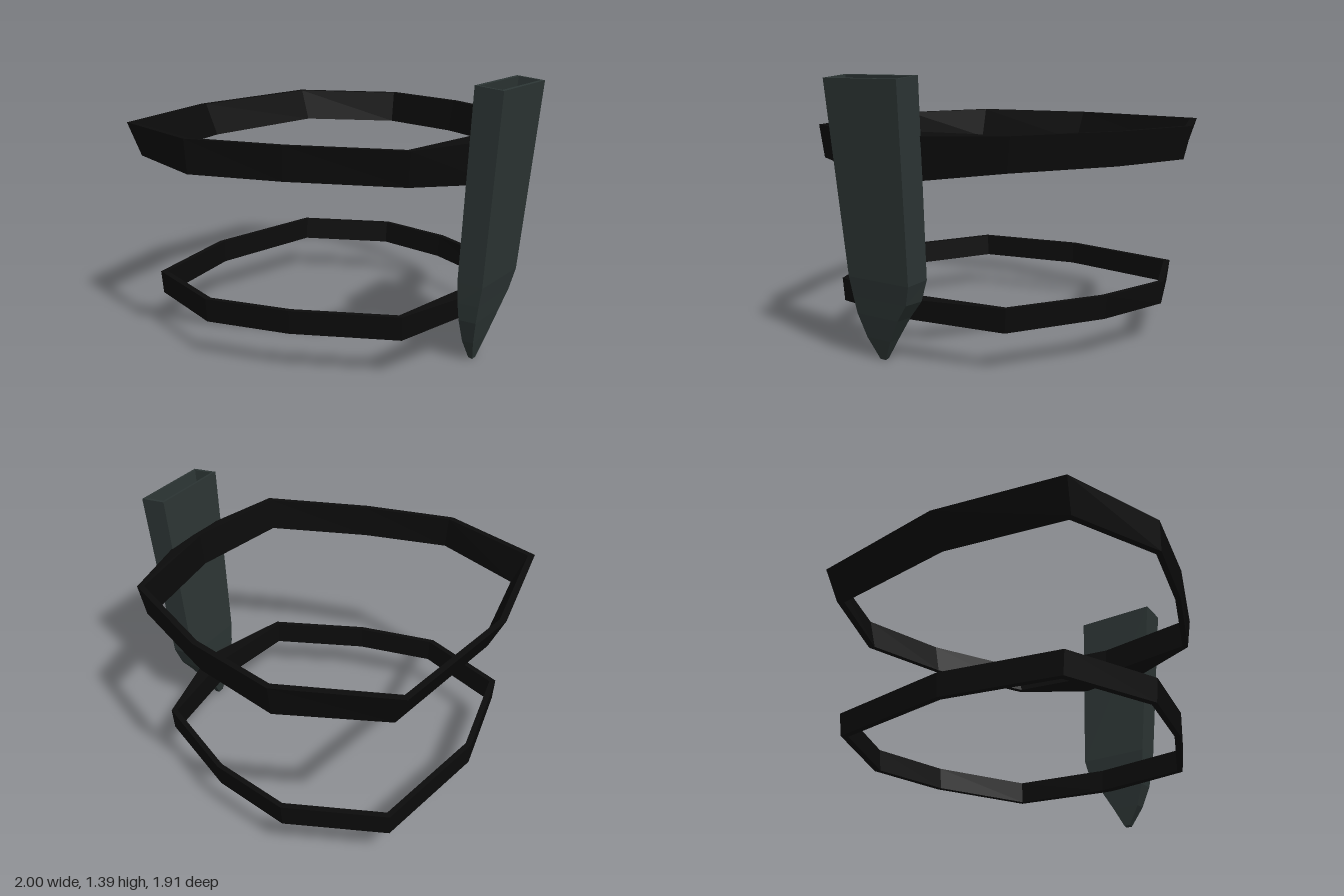
import * as THREE from 'three';

// Skin a series of four-cornered sections; either looped or capped at both ends
function loft(sections, looped) {
  const pos = [];
  const quad = (a, b, c, d) => pos.push(...a, ...b, ...c, ...a, ...c, ...d);
  const n = sections.length;
  for (let i = 0; i < (looped ? n : n - 1); i++) {
    const s = sections[i], t = sections[(i + 1) % n];
    for (let j = 0; j < 4; j++) {
      const k = (j + 1) % 4;
      quad(s[j], s[k], t[k], t[j]);
    }
  }
  if (!looped) {
    const s = sections[0], t = sections[n - 1];
    quad(s[0], s[3], s[2], s[1]);
    quad(t[0], t[1], t[2], t[3]);
  }
  const g = new THREE.BufferGeometry();
  g.setAttribute('position', new THREE.Float32BufferAttribute(pos, 3));
  g.computeVertexNormals();
  return g;
}

// Ten-sided strap: rows hold outer x, z at the top edge, then x, z at the bottom edge.
// The vertex under the sheath (index 5) is thicker and has its own outer heights.
function strapGeometry(rows, top, bottom, joinTop, joinBottom, inset, joinInset) {
  const cx = -0.05, cz = 0.03;
  return loft(rows.map(([xt, zt, xb, zb], i) => {
    const join = i === 5;
    const k = 1 - (join ? joinInset : inset);
    const inner = (x, y, z) => [cx + (x - cx) * k, y, cz + (z - cz) * k];
    return [
      [xb, join ? joinBottom : bottom, zb],
      [xt, join ? joinTop : top, zt],
      inner(xt, top, zt),
      inner(xb, bottom, zb),
    ];
  }), true);
}

export function createModel() {
  const group = new THREE.Group();
  const strapBlack = new THREE.MeshStandardMaterial({ color: 0x0b0b0b });
  const sheathGrey = new THREE.MeshStandardMaterial({ color: 0x2c3534 });
  const add = (name, geometry, material) => {
    const mesh = new THREE.Mesh(geometry, material);
    mesh.name = name;
    group.add(mesh);
  };

  // Upper strap, flaring outwards towards its top edge
  add('upperStrap', strapGeometry([
    [-1.0, 0.08, -0.92, 0.08],
    [-0.88, -0.72, -0.81, -0.69],
    [-0.32, -0.96, -0.31, -0.92],
    [0.17, -0.85, 0.16, -0.81],
    [0.72, -0.58, 0.70, -0.55],
    [0.885, 0.03, 0.86, 0.03],
    [0.72, 0.625, 0.70, 0.61],
    [0.17, 0.835, 0.16, 0.825],
    [-0.32, 0.955, -0.31, 0.95],
    [-0.88, 0.775, -0.81, 0.75],
  ], 1.13, 0.96, 1.11, 0.885, 0.036, 0.11), strapBlack);

  // Lower strap, narrower and nearly upright
  add('lowerStrap', strapGeometry([
    [-0.895, 0.08, -0.89, 0.08],
    [-0.78, -0.625, -0.775, -0.61],
    [-0.29, -0.84, -0.29, -0.825],
    [0.15, -0.755, 0.145, -0.74],
    [0.645, -0.505, 0.64, -0.495],
    [0.79, 0.03, 0.78, 0.03],
    [0.645, 0.56, 0.64, 0.55],
    [0.15, 0.785, 0.145, 0.775],
    [-0.29, 0.88, -0.29, 0.87],
    [-0.78, 0.685, -0.775, 0.675],
  ], 0.32, 0.2, 0.32, 0.22, 0.037, 0.12), strapBlack);

  // Sheath: inner x, outer x, back z, front z, inner y, outer y; up the outside, then down the cavity
  const sheath = [
    [0.785, 0.808, 0.105, 0.14, 0.005, 0],
    [0.778, 0.838, 0.045, 0.198, 0.11, 0.11],
    [0.773, 0.866, -0.03, 0.233, 0.23, 0.23],
    [0.77, 0.883, -0.1, 0.243, 0.32, 0.32],
    [0.77, 0.903, -0.134, 0.25, 0.43, 0.42],
    [0.852, 0.998, -0.167, 0.293, 1.393, 1.378],
    [0.868, 0.982, -0.15, 0.276, 1.391, 1.38],
    [0.786, 0.888, -0.118, 0.234, 0.43, 0.42],
    [0.788, 0.852, -0.02, 0.218, 0.23, 0.23],
    [0.79, 0.81, 0.09, 0.15, 0.06, 0.06],
  ].map(([xi, xo, zb, zf, yi, yo]) => [[xi, yi, zf], [xo, yo, zf], [xo, yo, zb], [xi, yi, zb]]);
  add('sheath', loft(sheath, false), sheathGrey);

  return group;
}
